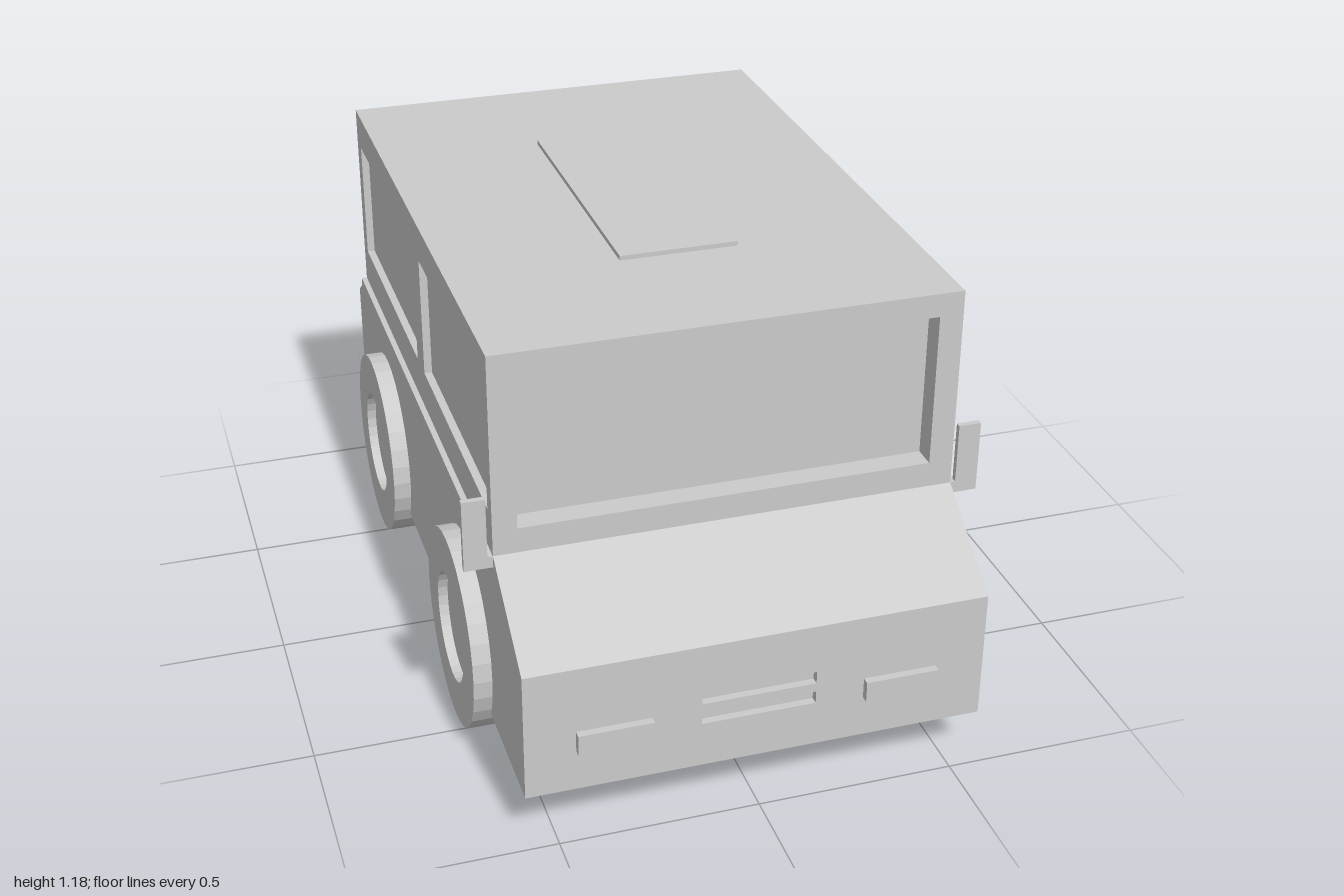
import * as THREE from 'three';

const material = new THREE.MeshStandardMaterial({ color: 0xcccccc, flatShading: true });

function add(parent, name, geometry) {
  const mesh = new THREE.Mesh(geometry, material);
  mesh.name = name;
  parent.add(mesh);
  return mesh;
}

// Box given by its minimum and maximum corners
function block([x0, y0, z0], [x1, y1, z1]) {
  return new THREE.BoxGeometry(x1 - x0, y1 - y0, z1 - z0)
    .translate((x0 + x1) / 2, (y0 + y1) / 2, (z0 + z1) / 2);
}

const rect = (a0, b0, a1, b1) => [[a0, b0], [a1, b0], [a1, b1], [a0, b1]]
  .map(([a, b]) => new THREE.Vector2(a, b));

// Flat panel with rectangular openings, extruded from depth 0 along +z
function panel(outline, openings, depth) {
  const shape = new THREE.Shape(rect(...outline));
  for (const o of openings) shape.holes.push(new THREE.Path(rect(...o).reverse()));
  return new THREE.ExtrudeGeometry(shape, { depth, bevelEnabled: false });
}

export function createModel() {
  const car = new THREE.Group();
  car.name = 'car';
  const halfWidth = 0.575, recess = 0.02;

  // Lower body: side profile (z, y) extruded across the width
  const profile = [[0.96, 0.14], [0.96, 0.37], [0.98, 0.37], [0.98, 0.48],
    [0.73, 0.655], [-0.85, 0.655], [-1, 0.55], [-1, 0.14]];
  const hull = new THREE.Shape(profile.map(([z, y]) => new THREE.Vector2(z, y)));
  add(car, 'lowerBody', new THREE.ExtrudeGeometry(hull, { depth: 2 * halfWidth, bevelEnabled: false })
    .translate(0, 0, -halfWidth).rotateY(-Math.PI / 2));

  // Nose plate with two grille slots
  add(car, 'grillePlate', panel([-halfWidth, 0.14, halfWidth, 0.37],
    [[-0.143, 0.26, 0.143, 0.293], [-0.143, 0.317, 0.143, 0.35]], recess).translate(0, 0, 0.96));

  // Cabin core, with panels around it that leave the windows sunken
  const inner = halfWidth - recess;
  add(car, 'cabin', block([-inner, 0.655, -0.85], [inner, 1.175, 0.67]));
  add(car, 'windscreenFrame', panel([-inner, 0.655, inner, 1.175],
    [[-0.515, 0.72, 0.515, 1.115]], 0.06).translate(0, 0, 0.67));
  const sideWindows = [[-0.01, 0.76, 0.69, 1.08], [-0.8, 0.76, -0.095, 1.08]];

  for (const [side, label] of [[1, 'left'], [-1, 'right']]) {
    // The extrusion runs towards -x after turning
    add(car, label + 'WindowFrame', panel([-0.85, 0.655, 0.73, 1.175], sideWindows, recess)
      .rotateY(-Math.PI / 2).translate(side > 0 ? halfWidth : -inner, 0, 0));
    const mirrored = (name, x0, y0, z0, x1, y1, z1) => add(car, label + name,
      block([Math.min(side * x0, side * x1), y0, z0], [Math.max(side * x0, side * x1), y1, z1]));
    mirrored('SideTrim', 0.57, 0.625, -0.85, 0.59, 0.655, 0.73);
    mirrored('Mirror', 0.588, 0.625, 0.715, 0.645, 0.81, 0.73);
    mirrored('Headlight', 0.265, 0.25, 0.97, 0.45, 0.305, 1);
  }

  // Raised roof panel
  add(car, 'roofPanel', block([-0.15, 1.17, -0.45], [0.15, 1.187, 0.335]));

  // Full-width wheel rolls with sunken hubs at both ends
  const r = 0.257, hub = 0.143, end = 0.622, hubEnd = end - 0.025;
  const wheelProfile = [[0, -hubEnd], [hub, -hubEnd], [hub, -end], [r, -end],
    [r, end], [hub, end], [hub, hubEnd], [0, hubEnd]].map(([x, y]) => new THREE.Vector2(x, y));
  for (const [name, z] of [['frontWheels', 0.413], ['rearWheels', -0.57]]) {
    add(car, name, new THREE.LatheGeometry(wheelProfile, 32).rotateZ(Math.PI / 2)).position.set(0, r + 0.003, z);
  }
  return car;
}
